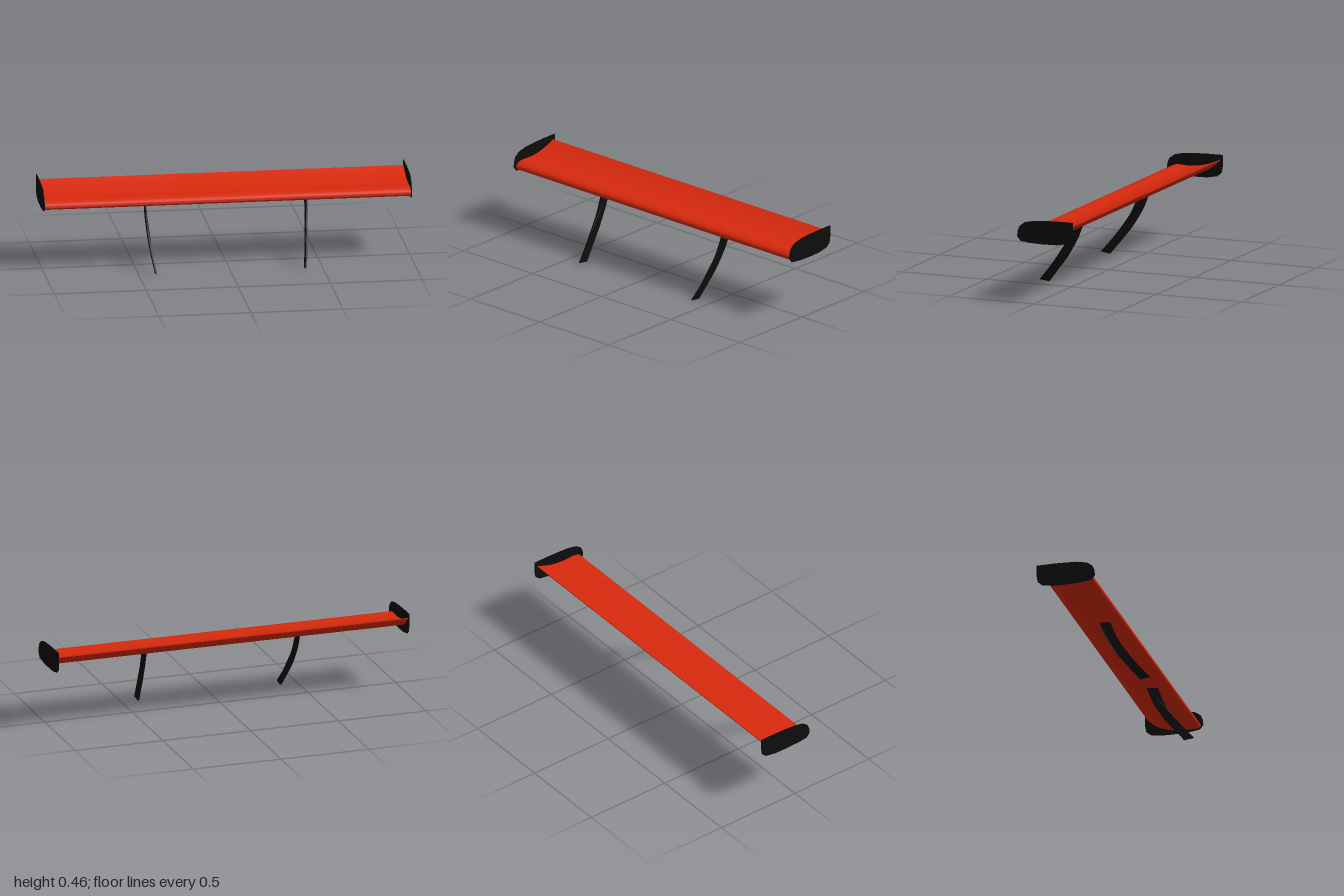
import * as THREE from 'three';
import { toCreasedNormals } from 'three/addons/utils/BufferGeometryUtils.js';

const red = new THREE.MeshStandardMaterial({ color: 0xd8290d });
const black = new THREE.MeshStandardMaterial({ color: 0x0d0d0d });

const vectors = (pairs) => pairs.map(([z, y]) => new THREE.Vector2(z, y));
const smooth = (pairs, n) => new THREE.SplineCurve(vectors(pairs)).getPoints(n);

// Extrudes a side outline given as (z, y) across x, centred on x = 0
function extrudeSideways(points, width) {
  const geometry = new THREE.ExtrudeGeometry(new THREE.Shape(points), {
    depth: width, bevelEnabled: false, steps: 1,
  });
  geometry.translate(0, 0, -width / 2);
  geometry.rotateY(-Math.PI / 2);
  return geometry;
}

function addMesh(group, name, geometry, material) {
  const mesh = new THREE.Mesh(geometry, material);
  mesh.name = name;
  group.add(mesh);
  return mesh;
}

// Wing section: round nose, shallow crest, upswept trailing edge
function wingGeometry() {
  const outline = smooth([
    [-0.213, 0.437], [-0.17, 0.418], [-0.12, 0.402], [-0.07, 0.393], [-0.02, 0.39],
    [0.03, 0.392], [0.06, 0.387], [0.079, 0.375], [0.085, 0.36], [0.078, 0.349],
    [0.055, 0.346], [0, 0.346], [-0.06, 0.352], [-0.12, 0.368], [-0.17, 0.393], [-0.213, 0.432],
  ], 60);
  return toCreasedNormals(extrudeSideways(outline, 1.994), 0.6);
}

// End plate: rounded nose and lower edge, square upper rear corner
function endPlateGeometry() {
  return extrudeSideways(vectors([
    [-0.228, 0.463], [-0.228, 0.4], [-0.222, 0.366], [-0.197, 0.344], [-0.137, 0.333],
    [-0.05, 0.331], [0.02, 0.333], [0.08, 0.34], [0.099, 0.364], [0.097, 0.394],
    [0.085, 0.422], [0.055, 0.444], [0, 0.456], [-0.06, 0.46], [-0.137, 0.463],
  ]), 0.004);
}

// Strut: thin blade sweeping forward and bending inward toward its foot
function strutGeometry(side) {
  const front = smooth([
    [0.228, 0.007], [0.15, 0.1], [0.08, 0.2], [0.055, 0.244], [0.035, 0.29], [0.012, 0.352],
  ], 12);
  const rear = smooth([
    [0.172, 0], [0.1, 0.09], [0.05, 0.155], [0, 0.238], [-0.022, 0.285], [-0.047, 0.352],
  ], 12);
  const geometry = extrudeSideways([...front, ...rear.reverse()], 0.008);
  const position = geometry.attributes.position;
  for (let i = 0; i < position.count; i++) {
    const t = 1 - position.getY(i) / 0.352;
    position.setX(i, position.getX(i) + side * (0.437 - 0.032 * t * t));
  }
  geometry.computeVertexNormals();
  return toCreasedNormals(geometry, 0.6);
}

export function createModel() {
  const model = new THREE.Group();
  model.name = 'rearWing';
  addMesh(model, 'wing', wingGeometry(), red);
  for (const [name, side] of [['left', 1], ['right', -1]]) {
    addMesh(model, name + 'EndPlate', endPlateGeometry(), black).position.x = side * 0.998;
    addMesh(model, name + 'Strut', strutGeometry(side), black);
  }
  return model;
}
